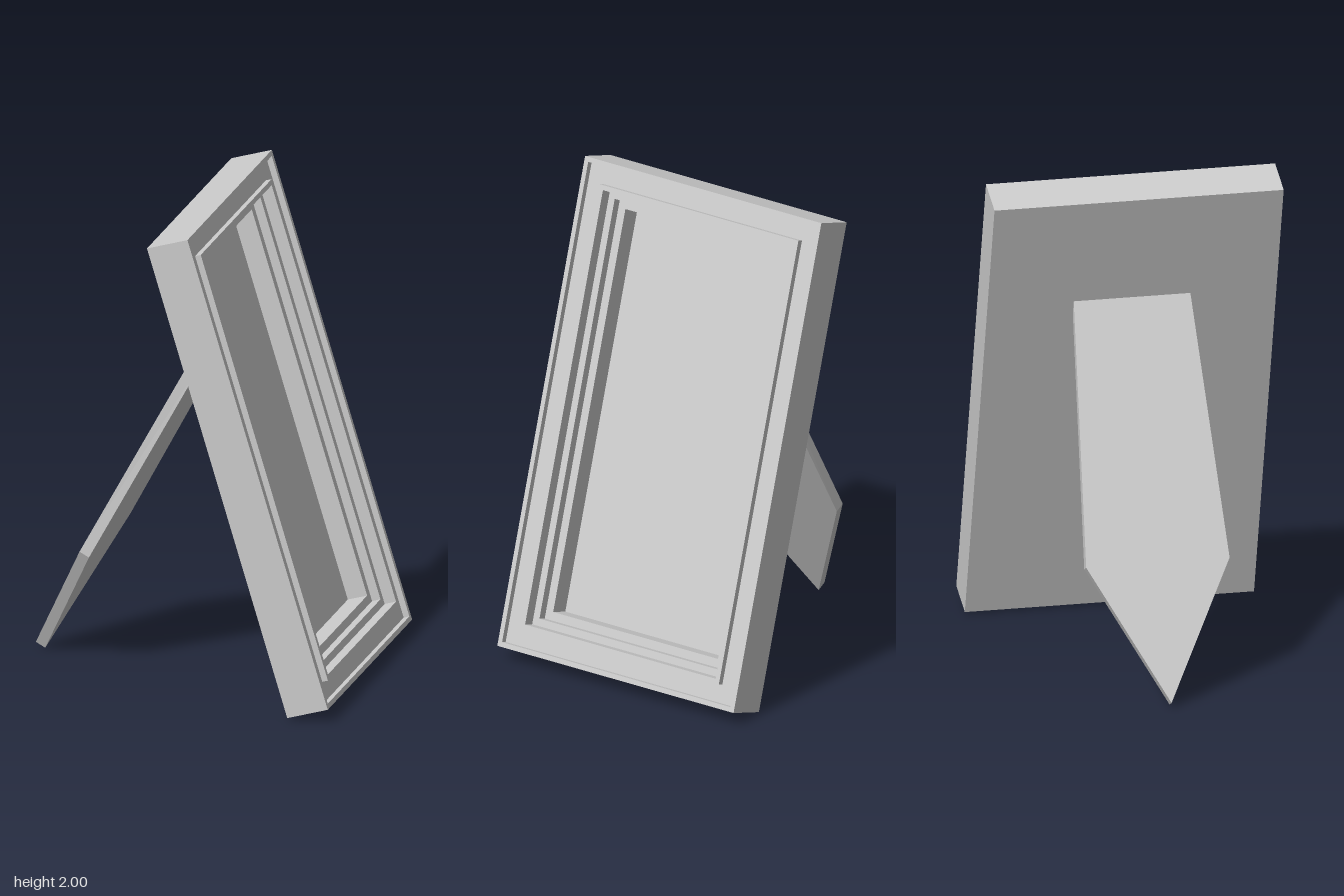
import * as THREE from 'three';

const mat = new THREE.MeshStandardMaterial({ color: 0xcccccc, flatShading: true });

// Places a part whose local y runs along `up` and local z along `out`
function place(obj, origin, up, out) {
  const u = new THREE.Vector3(...up).normalize();
  const o = new THREE.Vector3(...out).normalize();
  const x = new THREE.Vector3().crossVectors(u, o);
  obj.applyMatrix4(new THREE.Matrix4().makeBasis(x, u, o).setPosition(...origin));
  return obj;
}

// Sweeps an [inset, depth] profile around a rectangle with mitred corners
function mitredFrame(halfW, height, profile) {
  const pos = [];
  const corner = (c, [inset, z]) => [
    (c === 1 || c === 2 ? 1 : -1) * (halfW - inset),
    c >= 2 ? height - inset : inset,
    z,
  ];
  for (let i = 0; i < profile.length - 1; i++) {
    for (let c = 0; c < 4; c++) {
      const d = (c + 1) % 4;
      const a0 = corner(c, profile[i]), b0 = corner(d, profile[i]);
      const a1 = corner(c, profile[i + 1]), b1 = corner(d, profile[i + 1]);
      pos.push(...a0, ...b0, ...b1, ...a0, ...b1, ...a1);
    }
  }
  const g = new THREE.BufferGeometry();
  g.setAttribute('position', new THREE.Float32BufferAttribute(pos, 3));
  g.computeVertexNormals();
  return g;
}

export function createModel() {
  const model = new THREE.Group();
  model.name = 'pictureFrame';
  const add = (parent, name, geo) => {
    const m = new THREE.Mesh(geo, mat);
    m.name = name;
    parent.add(m);
    return m;
  };

  // Leaning frame: outer rim, groove, raised bead and stepped rebate
  const halfW = 0.595, height = 2.028, floor = -0.172, back = -0.178;
  const frame = new THREE.Group();
  frame.name = 'frame';
  add(frame, 'moulding', mitredFrame(halfW, height, [
    [0, floor], [0, 0], [0.02, 0], [0.02, -0.025], [0.095, -0.025], [0.095, 0],
    [0.115, 0], [0.115, -0.05], [0.145, -0.05], [0.145, -0.087], [0.18, -0.087], [0.18, floor],
  ]));

  // Thin panel closing the back
  const panel = new THREE.BoxGeometry(halfW * 2, height, floor - back);
  panel.translate(0, height / 2, (floor + back) / 2);
  add(frame, 'backPanel', panel);
  model.add(place(frame, [0.7, 0.06, 0], [-0.291, 0.957, 0], [0.957, 0.291, 0]));

  // Pointed easel leg, its top end cut to lie flush against the panel
  const length = 1.657, thick = 0.045;
  const outline = new THREE.Shape([
    [0, 0], [0.295, 0.573], [0.24, length], [-0.24, length], [-0.295, 0.573],
  ].map(([x, y]) => new THREE.Vector2(x, y)));
  const legGeo = new THREE.ExtrudeGeometry(outline, { depth: thick, bevelEnabled: false });
  const p = legGeo.attributes.position;
  for (let i = 0; i < p.count; i++) {
    if (p.getY(i) > length - 0.01) p.setY(i, length - p.getZ(i) * 0.993);
  }
  legGeo.computeVertexNormals();
  place(add(model, 'easelLeg', legGeo), [-0.705, 0.022, 0], [0.474, 0.881, 0], [0.881, -0.474, 0]);

  return model;
}
